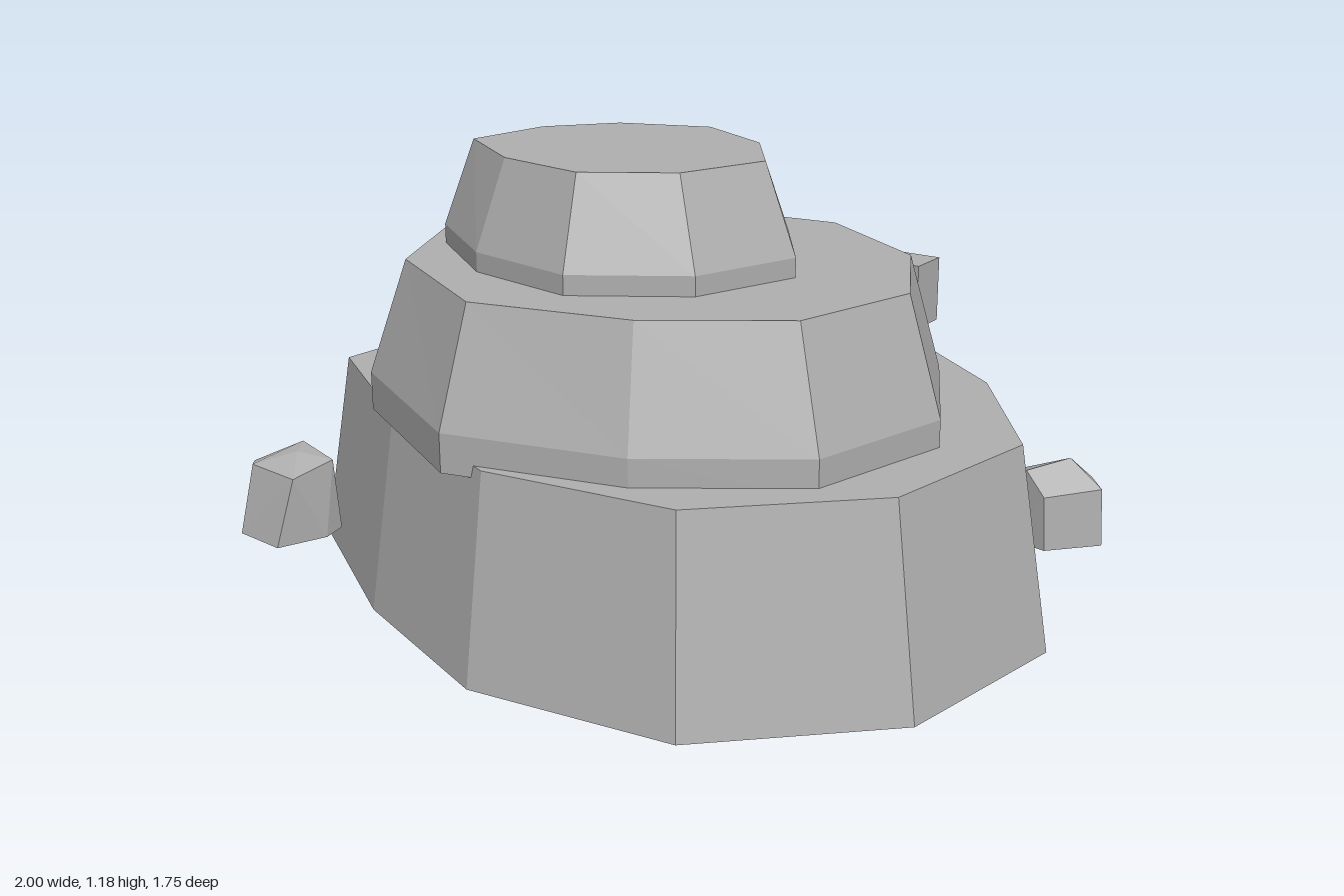
import * as THREE from 'three';
import { ConvexGeometry } from 'three/addons/geometries/ConvexGeometry.js';

const stone = new THREE.MeshStandardMaterial({ color: 0xb0b0b0, side: THREE.DoubleSide });
stone.name = 'grey stone';

// Stacked outline rings [y, [[x, z], ...]] joined by flat walls and closed on top, open below
function terrace(name, rings) {
  const pos = [];
  const v = (r, i) => {
    const [y, pts] = rings[r];
    const p = pts[i % pts.length];
    return [p[0], y, p[1]];
  };
  const n = rings[0][1].length;
  for (let r = 0; r < rings.length - 1; r++) {
    for (let i = 0; i < n; i++) {
      const a = v(r, i), b = v(r, i + 1), c = v(r + 1, i + 1), d = v(r + 1, i);
      pos.push(...a, ...c, ...b, ...a, ...d, ...c);
    }
  }
  const top = rings.length - 1;
  for (let i = 1; i < n - 1; i++) pos.push(...v(top, 0), ...v(top, i + 1), ...v(top, i));
  const geo = new THREE.BufferGeometry();
  geo.setAttribute('position', new THREE.Float32BufferAttribute(pos, 3));
  geo.computeVertexNormals();
  const mesh = new THREE.Mesh(geo, stone);
  mesh.name = name;
  return mesh;
}

// Faceted boulder from its corner points
function boulder(name, pts) {
  const mesh = new THREE.Mesh(new ConvexGeometry(pts.map(p => new THREE.Vector3(...p))), stone);
  mesh.name = name;
  return mesh;
}

const scaled = (pts, s) => pts.map(([x, z]) => [x * s, z * s]);

export function createModel() {
  const group = new THREE.Group();
  group.name = 'terracedRock';

  // Outlines run clockwise seen from above
  const lower = [[0.13, -0.87], [0.62, -0.63], [1, -0.26], [1, 0.27], [0.67, 0.71], [0.13, 0.87],
    [-0.39, 0.76], [-0.92, 0.53], [-0.97, 0], [-0.84, -0.48], [-0.39, -0.76]];
  group.add(terrace('lowerTerrace', [[0, lower], [0.53, scaled(lower, 0.912)]]));

  const middle = [[0.09, -0.6], [0.52, -0.42], [0.78, -0.08], [0.75, 0.33], [0.44, 0.63],
    [0, 0.82], [-0.5, 0.65], [-0.765, 0.26], [-0.67, -0.17], [-0.35, -0.47]];
  const middleTop = [[0.08, -0.51], [0.46, -0.36], [0.69, -0.06], [0.66, 0.3], [0.39, 0.56],
    [0, 0.725], [-0.43, 0.575], [-0.67, 0.24], [-0.59, -0.14], [-0.3, -0.39]];
  group.add(terrace('middleTerrace', [[0.5, middle], [0.6, middle], [0.9, middleTop]]));

  const upper = [[-0.115, -0.3], [0.18, -0.2], [0.4, 0.02], [0.35, 0.32], [0.12, 0.53],
    [-0.2, 0.53], [-0.5, 0.39], [-0.52, 0.1], [-0.39, -0.14]];
  const upperTop = [[-0.11, -0.21], [0.14, -0.13], [0.315, 0.04], [0.27, 0.29], [0.09, 0.455],
    [-0.17, 0.455], [-0.425, 0.345], [-0.435, 0.1], [-0.33, -0.085]];
  group.add(terrace('upperTerrace', [[0.87, upper], [0.95, upper], [1.18, upperTop]]));

  // Slab jutting from the back of the middle terrace
  const slab = new THREE.Mesh(new THREE.BoxGeometry(0.37, 0.175, 0.12), stone);
  slab.name = 'slab';
  slab.position.set(0.193, 0.745, -0.52);
  slab.rotation.y = 0.176;
  group.add(slab);

  // Loose boulders at the foot
  group.add(boulder('frontBoulder', [
    [-1, 0.08, 0.71], [-0.91, 0.08, 0.82], [-0.75, 0.08, 0.81], [-0.72, 0.08, 0.67],
    [-0.75, 0.08, 0.6], [-0.9, 0.08, 0.6], [-0.98, 0.25, 0.72], [-0.91, 0.27, 0.77],
    [-0.73, 0.27, 0.76], [-0.76, 0.28, 0.61], [-0.84, 0.3, 0.67], [-0.9, 0.3, 0.61]]));
  group.add(boulder('backBoulder', [
    [0.53, 0.08, -0.72], [0.63, 0.08, -0.86], [0.72, 0.08, -0.87], [0.83, 0.08, -0.77],
    [0.74, 0.08, -0.63], [0.63, 0.08, -0.63], [0.54, 0.23, -0.73], [0.72, 0.22, -0.88],
    [0.82, 0.24, -0.77], [0.73, 0.23, -0.63], [0.65, 0.28, -0.66], [0.71, 0.3, -0.78]]));

  return group;
}
